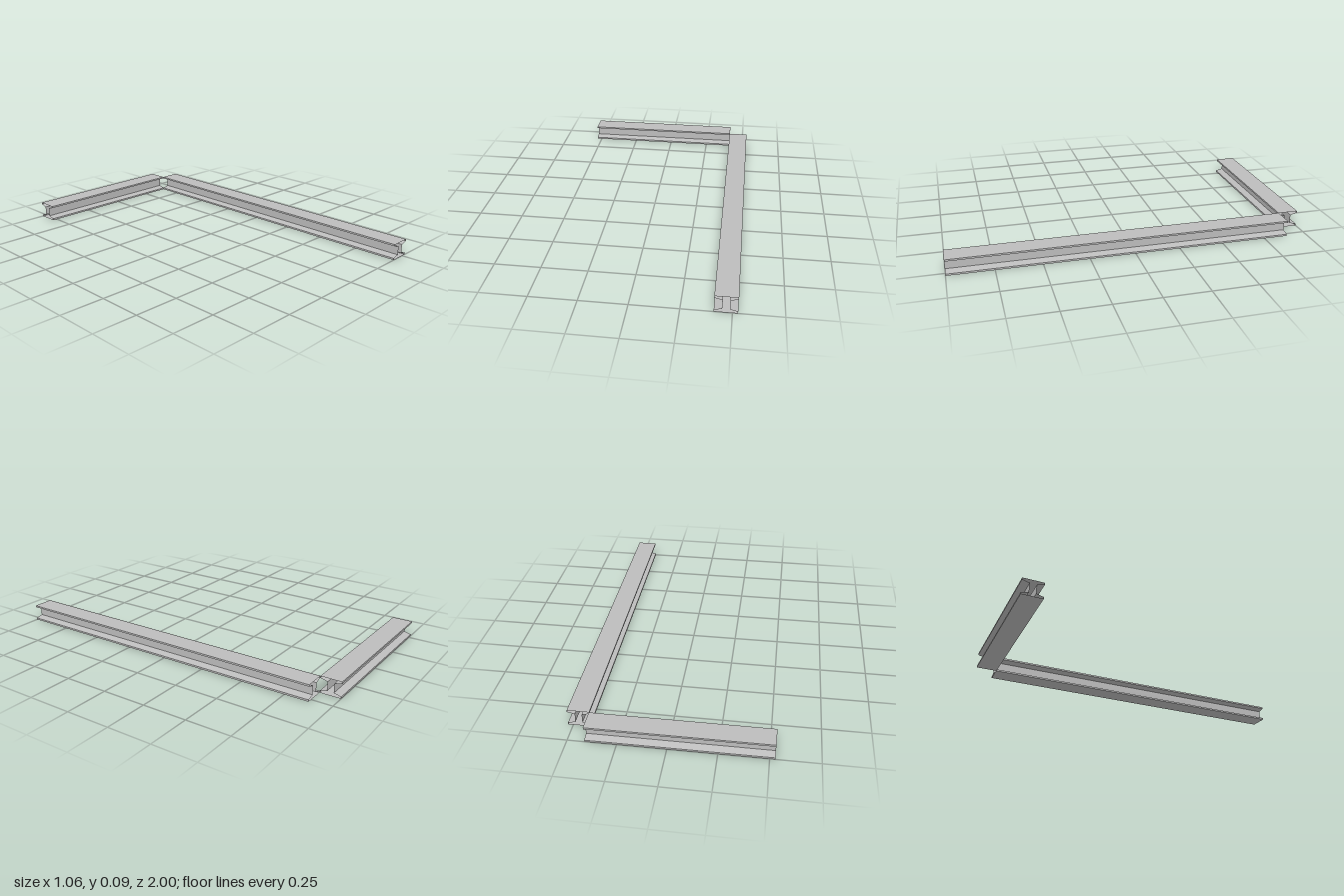
import * as THREE from 'three';

const steel = new THREE.MeshStandardMaterial({ color: 0xbcbcbc, side: THREE.DoubleSide });
steel.name = 'grey steel';

// Half of the I section (right side, bottom to top); the left side mirrors it
const HALF = [[0.058, 0], [0.058, 0.01], [0.018, 0.02], [0.018, 0.071], [0.058, 0.081], [0.058, 0.091]];
const SECTION = [...HALF, ...HALF.map(([x, y]) => [-x, y]).reverse()];

// Open-ended beam running along z
function beam(name, length) {
  const pos = [];
  const h = length / 2;
  SECTION.forEach(([ax, ay], i) => {
    const [bx, by] = SECTION[(i + 1) % SECTION.length];
    pos.push(ax, ay, h, bx, by, -h, bx, by, h);
    pos.push(ax, ay, h, ax, ay, -h, bx, by, -h);
  });
  const geometry = new THREE.BufferGeometry();
  geometry.setAttribute('position', new THREE.Float32BufferAttribute(pos, 3));
  geometry.computeVertexNormals();
  const mesh = new THREE.Mesh(geometry, steel);
  mesh.name = name;
  return mesh;
}

export function createModel() {
  const group = new THREE.Group();
  group.name = 'cornerBeams';

  // Long beam along the left side
  const longBeam = beam('longBeam', 1.884);
  longBeam.position.set(0.469, 0, 0.058);

  // Short beam across the back
  const shortBeam = beam('shortBeam', 0.94);
  shortBeam.rotation.y = Math.PI / 2;
  shortBeam.position.set(-0.058, 0, -0.942);

  group.add(longBeam, shortBeam);
  return group;
}
